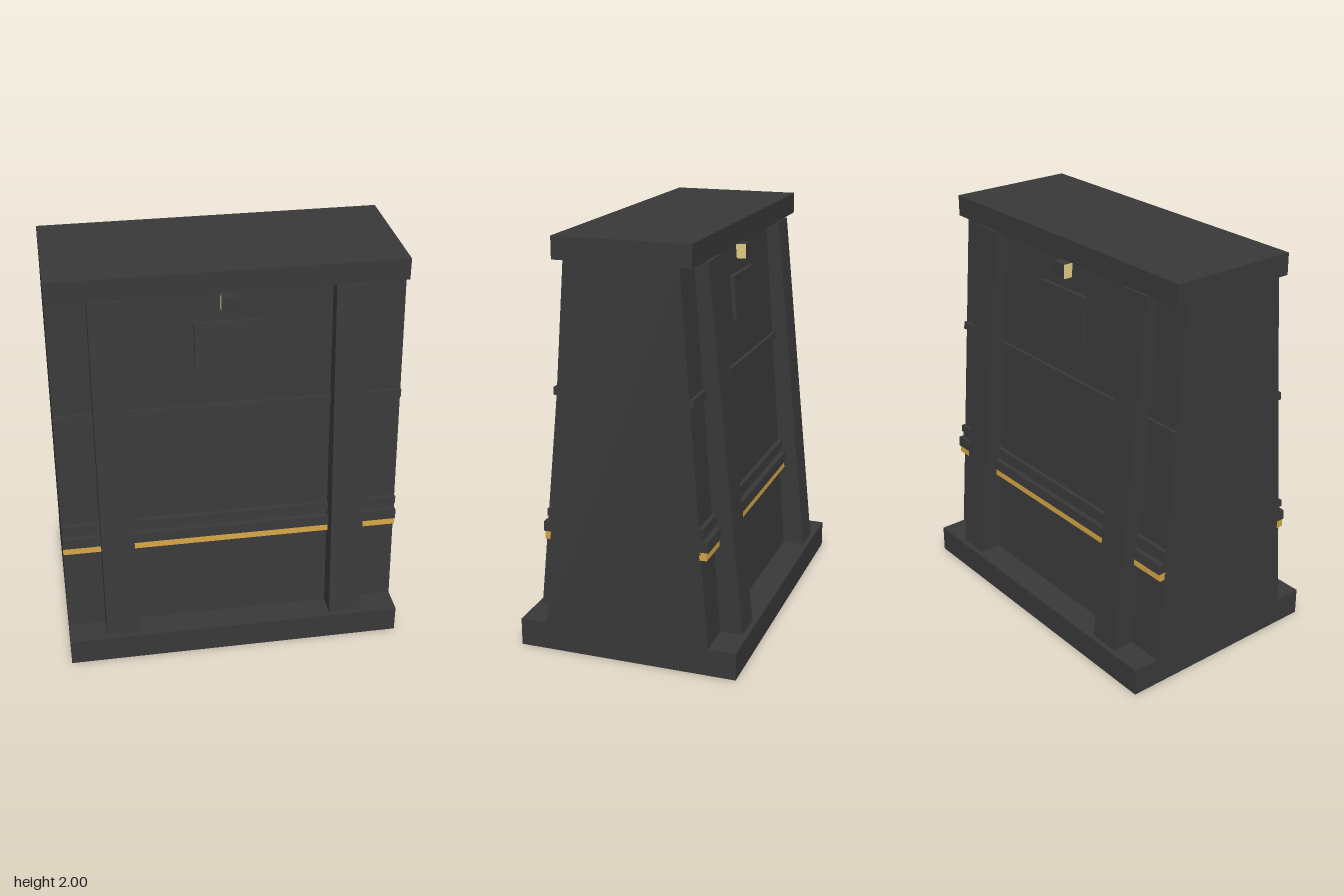
import * as THREE from 'three';

const W = 1.67; // full width of the case
const Y0 = 0.135, Y1 = 1.895; // body bottom and top

export function createModel() {
  const model = new THREE.Group();
  model.name = 'taperedCase';
  const charcoal = new THREE.MeshStandardMaterial({ color: 0x393939 });
  charcoal.name = 'charcoal';
  const gold = new THREE.MeshStandardMaterial({ color: 0xd2a445 });
  gold.name = 'gold';
  const paleGold = new THREE.MeshStandardMaterial({ color: 0xe0cd85 });
  paleGold.name = 'paleGold';

  function add(parent, name, geometry, material, x = 0, y = 0, z = 0) {
    const mesh = new THREE.Mesh(geometry, material);
    mesh.name = name;
    mesh.position.set(x, y, z);
    parent.add(mesh);
    return mesh;
  }

  // Extrude a (z, y) outline along x, centred on x = 0
  function prism(points, width) {
    const shape = new THREE.Shape(points.map(([z, y]) => new THREE.Vector2(-z, y)));
    const g = new THREE.ExtrudeGeometry(shape, { depth: width, bevelEnabled: false });
    return g.translate(0, 0, -width / 2).rotateY(Math.PI / 2);
  }

  // Depth of the sloping body face at a height
  const face = (y) => 0.405 - ((y - Y0) / (Y1 - Y0)) * 0.135;

  // Plinth, sloping body and lid
  add(model, 'plinth', new THREE.BoxGeometry(W, Y0, 1.08), charcoal, 0, Y0 / 2);
  add(model, 'body', prism([[-0.405, Y0], [0.405, Y0], [0.27, Y1], [-0.27, Y1]], W), charcoal);
  add(model, 'lid', new THREE.BoxGeometry(W, 2 - Y1, 0.65), charcoal, 0, (2 + Y1) / 2);

  // Tapered uprights running through front and back
  for (const side of [-1, 1]) {
    add(model, side > 0 ? 'leftUpright' : 'rightUpright',
      prism([[-0.515, Y0], [0.515, Y0], [0.337, Y1], [-0.337, Y1]], 0.16), charcoal, side * 0.569);
  }

  // Trim, the same on the front and the back
  for (const back of [false, true]) {
    const trim = new THREE.Group();
    trim.name = back ? 'backTrim' : 'frontTrim';
    if (back) trim.rotation.y = Math.PI;
    model.add(trim);

    // Horizontal mouldings: name, bottom, top, outer depth at bottom and top
    const mouldings = [
      ['upperMoulding', 1.28, 1.317, 0.334, 0.331],
      ['middleMoulding', 0.69, 0.725, 0.384, 0.381],
      ['cove', 0.66, 0.69, 0.375, 0.372],
      ['lowerMoulding', 0.61, 0.66, 0.405, 0.401],
    ];
    for (const [name, a, b, za, zb] of mouldings) {
      add(trim, name, prism([[face(a) - 0.02, a], [za, a], [zb, b], [face(b) - 0.02, b]], W), charcoal);
    }
    add(trim, 'goldBand', prism([[0.36, 0.572], [0.398, 0.572], [0.396, 0.61], [0.36, 0.61]], W), gold);

    // Sloping name plate
    const p0 = 1.52, p1 = 1.735;
    add(trim, 'plate', prism([[face(p0) - 0.02, p0], [face(p0) + 0.02, p0],
      [face(p1) + 0.02, p1], [face(p1) - 0.02, p1]], 0.326), charcoal);

    // Small latch with gilded sides
    add(trim, 'latch', new THREE.BoxGeometry(0.08, 0.07, 0.07),
      [paleGold, paleGold, charcoal, charcoal, charcoal, charcoal], 0, 1.833, 0.287);
  }
  return model;
}
